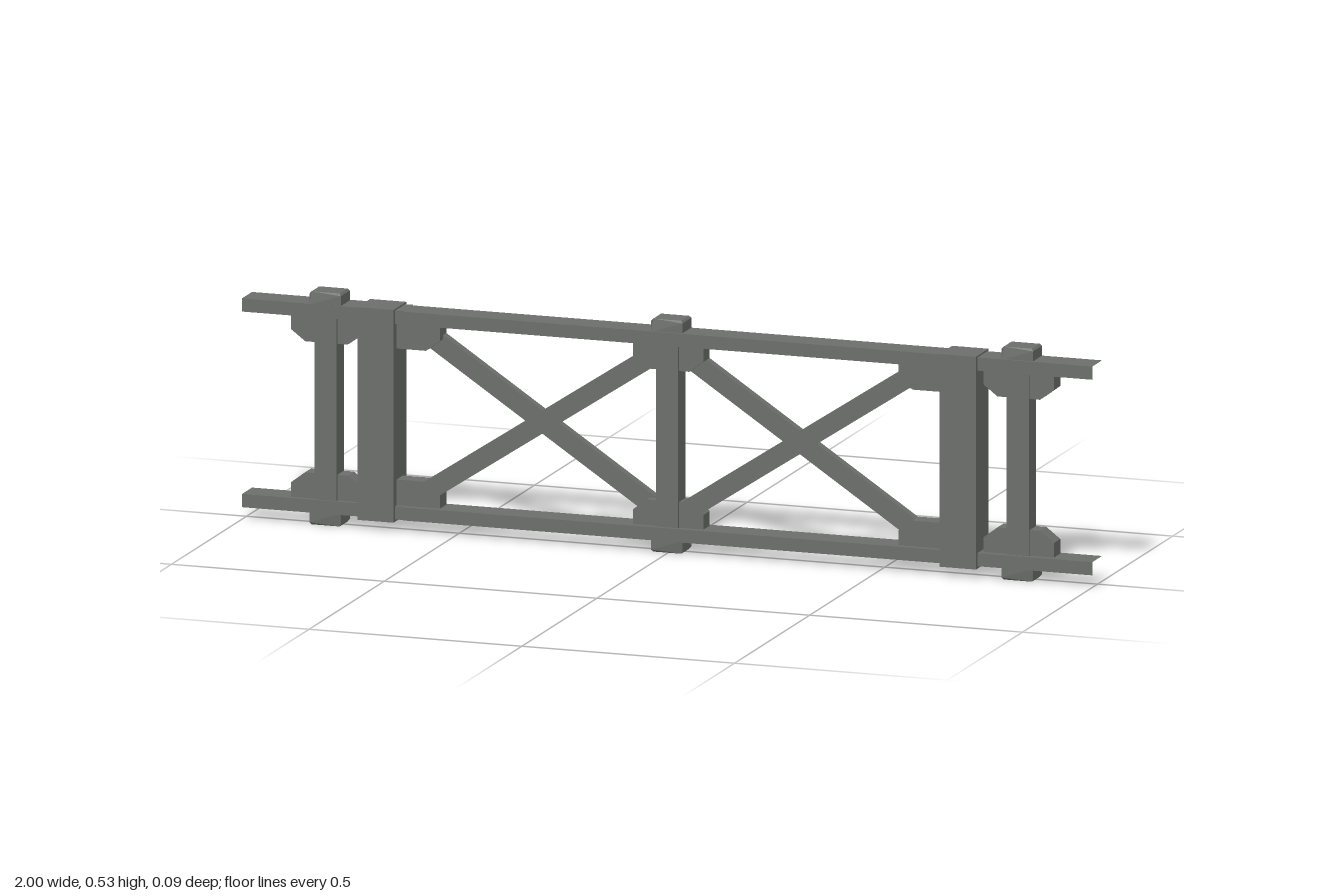
import * as THREE from 'three';

const MID_Y = 0.265; // height of the horizontal mirror plane

export function createModel() {
  const model = new THREE.Group();
  model.name = 'trussFrame';
  const steel = new THREE.MeshStandardMaterial({ color: 0x6c6f6c });
  steel.name = 'greySteel';

  const add = (name, geometry, x, y, z) => {
    const mesh = new THREE.Mesh(geometry, steel);
    mesh.name = name;
    mesh.position.set(x, y, z);
    model.add(mesh);
    return mesh;
  };

  // Box from its limits
  const box = (name, x0, x1, y0, y1, z0, z1) =>
    add(name, new THREE.BoxGeometry(x1 - x0, y1 - y0, z1 - z0),
      (x0 + x1) / 2, (y0 + y1) / 2, (z0 + z1) / 2);

  // Hollow rail, open at both ends: a box without its two x faces
  const rail = (name, x0, x1, y, z0, z1) => {
    const g = new THREE.BoxGeometry(x1 - x0, 0.03, z1 - z0);
    g.clearGroups();
    g.setIndex(Array.from(g.index.array).slice(12));
    add(name, g, (x0 + x1) / 2, y, (z0 + z1) / 2);
  };

  // Gusset plate with two cut corners, pointing up from its base
  const plate = new THREE.Shape([
    [-0.083, 0], [0.083, 0], [0.083, 0.049], [0.05, 0.074], [-0.05, 0.074], [-0.083, 0.049],
  ].map(([x, y]) => new THREE.Vector2(x, y)));
  const gussetGeometry = new THREE.ExtrudeGeometry(plate, { depth: 0.042, bevelEnabled: false });
  gussetGeometry.translate(0, 0, -0.021);

  // Cap block whose outer rim is slightly chamfered
  const outline = new THREE.Shape([
    [-0.037, 0], [0.037, 0], [0.037, 0.025], [0.033, 0.03], [-0.033, 0.03], [-0.037, 0.025],
  ].map(([x, y]) => new THREE.Vector2(x, y)));
  const capGeometry = new THREE.ExtrudeGeometry(outline, { depth: 0.06, bevelEnabled: false });
  capGeometry.translate(0, 0, -0.03);
  const p = capGeometry.attributes.position;
  for (let i = 0; i < p.count; i++) {
    if (p.getY(i) > 0.028) p.setZ(i, Math.sign(p.getZ(i)) * 0.026);
  }
  capGeometry.computeVertexNormals();

  // Parts repeated at the bottom and, turned over, at the top
  const posts = [-0.805, -0.002, 0.822];
  for (const up of [false, true]) {
    const side = up ? 'top' : 'bottom';
    const d = up ? 1 : -1;
    const turn = up ? Math.PI : 0;
    const railY = MID_Y + d * 0.2225;
    rail(side + 'RailRight', -1, -0.62, railY, -0.036, 0.031);
    rail(side + 'RailLeft', -0.62, 1, railY, -0.03, 0.035);
    for (const x of [...posts, -0.621, 0.622]) {
      add(side + 'Gusset', gussetGeometry, x, MID_Y + d * 0.223, 0).rotation.z = turn;
    }
    for (const x of posts) {
      add(side + 'Cap', capGeometry, x, MID_Y + d * 0.235, 0).rotation.z = up ? 0 : Math.PI;
    }
  }

  // Slim posts
  for (const x of posts) {
    box('post', x - 0.026, x + 0.026, 0.03, 0.5, -0.022, 0.027);
  }

  // Wide columns
  box('rightColumn', -0.725, -0.64, 0.022, 0.506, -0.044, 0.041);
  box('leftColumn', 0.644, 0.73, 0.022, 0.506, -0.04, 0.045);

  // Crossed braces, one in front of the other in each bay
  for (const x of [-0.305, 0.3]) {
    for (const s of [-1, 1]) {
      const brace = add(s > 0 ? 'frontBrace' : 'backBrace',
        new THREE.BoxGeometry(0.63, 0.044, 0.021), x, MID_Y + 0.003, s * 0.0105);
      brace.rotation.z = s * Math.atan2(0.33, 0.5);
    }
  }
  return model;
}
